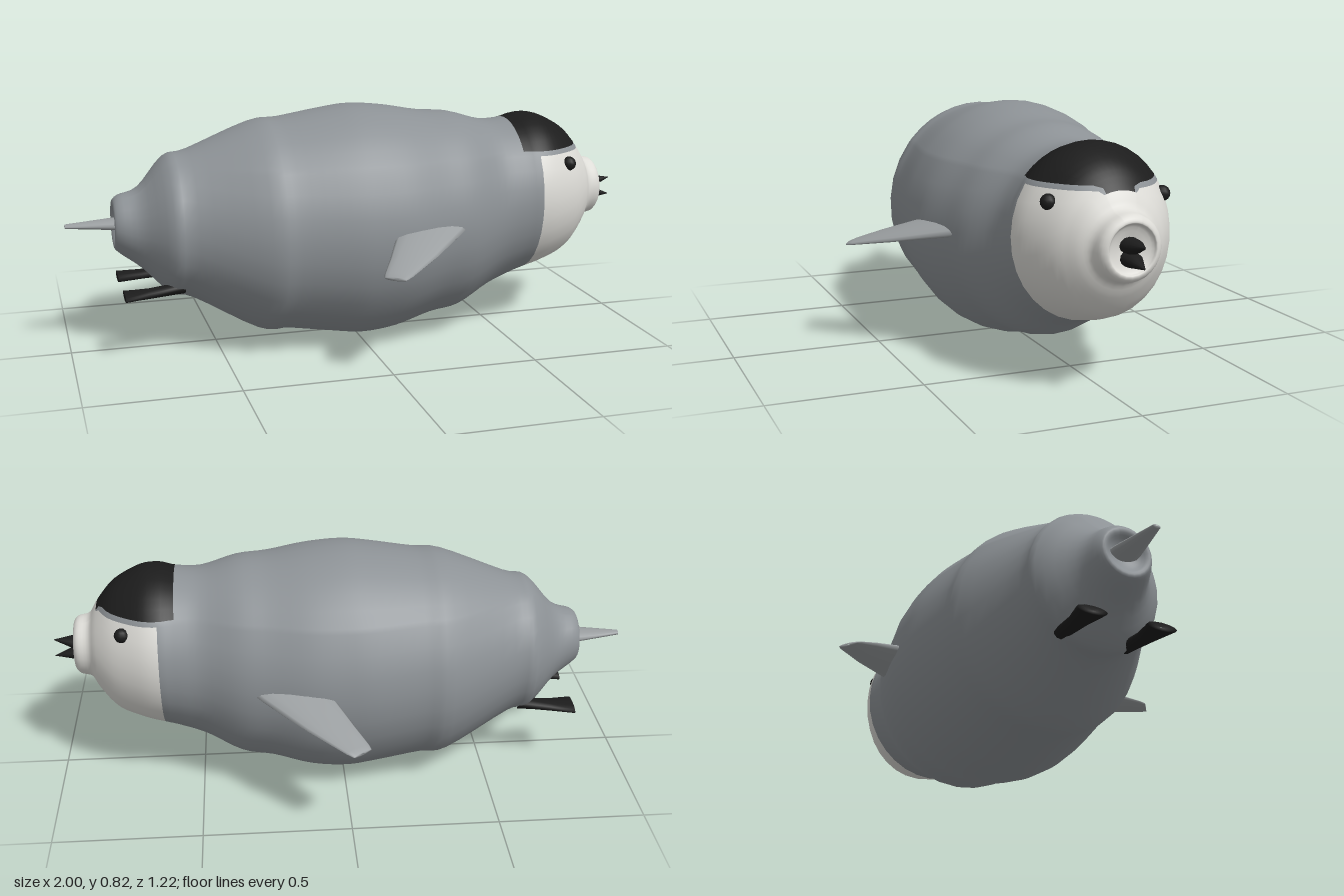
import * as THREE from 'three';

const mat = (name, color) => {
  const m = new THREE.MeshStandardMaterial({ color });
  m.name = name;
  return m;
};

// Joins rings of equal point count into a smooth skin; paint(ring, side) picks a material index.
function loft(rings, paint) {
  const n = rings[0].length, index = [], geo = new THREE.BufferGeometry();
  geo.setFromPoints(rings.flat());
  for (let r = 0; r < rings.length - 1; r++) {
    for (let i = 0; i < n; i++) {
      const a = r * n + i, b = r * n + (i + 1) % n;
      if (paint) geo.addGroup(index.length, 6, paint(r, i));
      index.push(a, a + n, b + n, a, b + n, b);
    }
  }
  geo.setIndex(index);
  geo.computeVertexNormals();
  return geo;
}

// Elliptical section standing across the x axis.
function section(angles, x, top, bottom, halfWidth, z = 0) {
  const cy = (top + bottom) / 2, ry = (top - bottom) / 2;
  return angles.map(a =>
    new THREE.Vector3(x, cy + ry * Math.sin(a), z + halfWidth * Math.cos(a)));
}
const around = n => Array.from({ length: n }, (_, i) => i / n * Math.PI * 2);

// Body rows from tail to face: x, top, bottom, half width
const BODY = [
  [-0.80, 0.451, 0.449, 0.001], [-0.82, 0.49, 0.40, 0.05], [-0.84, 0.52, 0.37, 0.08],
  [-0.82, 0.545, 0.345, 0.1], [-0.75, 0.57, 0.29, 0.135], [-0.66, 0.67, 0.20, 0.225],
  [-0.58, 0.69, 0.175, 0.24], [-0.36, 0.775, 0.05, 0.34], [-0.26, 0.785, 0.04, 0.35],
  [-0.10, 0.81, 0.015, 0.375], [0, 0.82, 0.002, 0.38], [0.12, 0.81, 0.015, 0.375],
  [0.25, 0.787, 0.052, 0.345], [0.36, 0.778, 0.07, 0.32], [0.48, 0.745, 0.135, 0.27],
  [0.57, 0.748, 0.172, 0.26], [0.625, 0.762, 0.19, 0.26], [0.69, 0.757, 0.208, 0.245],
  [0.78, 0.71, 0.245, 0.2], [0.84, 0.64, 0.315, 0.15], [0.87, 0.592, 0.365, 0.112],
  [0.91, 0.58, 0.378, 0.1], [0.925, 0.56, 0.398, 0.08], [0.91, 0.545, 0.413, 0.066],
  [0.89, 0.481, 0.479, 0.001],
];
const STEPS = 4, CAP_SIDES = 12, BAND = 1, LOW_SIDES = 22;
const CAP_ROW = 15, FACE_ROW = 16, CAP_END = 19;

// Angles that keep the cap edge on a level line, with a narrow grey band below it.
function bodyAngles(top, bottom) {
  const cy = (top + bottom) / 2, ry = (top - bottom) / 2;
  const edge = y => Math.asin(THREE.MathUtils.clamp((y - cy) / ry, -0.5, 0.95));
  const a = edge(0.655), b = Math.min(edge(0.64), a - 0.04), out = [];
  for (let i = 0; i < CAP_SIDES; i++) out.push(a + (Math.PI - 2 * a) * i / CAP_SIDES);
  out.push(Math.PI - a);
  for (let i = 0; i <= LOW_SIDES; i++) {
    out.push(Math.PI - b + (Math.PI + 2 * b) * i / LOW_SIDES);
  }
  return out;
}

function bodyGeometry() {
  const spline = new THREE.CubicInterpolant(BODY.map((_, i) => i), BODY.flat(), 4, new Float32Array(4));
  const rings = [];
  for (let k = 0; k <= (BODY.length - 1) * STEPS; k++) {
    const [x, top, bottom, w] = spline.evaluate(k / STEPS);
    rings.push(section(bodyAngles(top, bottom), x, top, bottom, w));
  }
  // 0 plumage, 1 face, 2 cap
  return loft(rings, (r, i) => {
    const row = r / STEPS;
    const inCap = i < CAP_SIDES;
    const inBand = i === CAP_SIDES || i === CAP_SIDES + BAND + LOW_SIDES;
    if (row >= CAP_ROW && row < CAP_END && inCap) return 2;
    if (row >= FACE_ROW && !(inBand && row < CAP_END)) return 1;
    return 0;
  });
}

// Flipper stations from root to tip: lead x, lead z, trail x, trail z, y, half thickness
function flipperGeometry() {
  const rows = [
    [0.35, 0.28, 0.08, 0.30, 0.44, 0.03], [0.29, 0.35, 0.045, 0.37, 0.425, 0.024],
    [0.15, 0.49, -0.01, 0.48, 0.39, 0.016], [0.03, 0.595, -0.05, 0.55, 0.362, 0.009],
    [0.005, 0.61, -0.055, 0.565, 0.356, 0.006], [-0.02, 0.59, -0.03, 0.585, 0.356, 0.001],
  ];
  return loft(rows.map(([lx, lz, tx, tz, y, h]) => around(14).map(a => {
    const t = (1 - Math.cos(a)) / 2;
    return new THREE.Vector3(lx + (tx - lx) * t, y - h * Math.sin(a), lz + (tz - lz) * t);
  })));
}

const spindle = (rows, n = 12) => loft(rows.map(r => section(around(n), ...r)));

export function createModel() {
  const group = new THREE.Group();
  const plumage = mat('grey plumage', 0x8d9296);
  const feather = mat('pale feather', 0x9b9fa1);
  const white = mat('white face', 0xdddcd7);
  const black = mat('black', 0x1c1c1c);
  const add = (name, geo, material) => {
    const mesh = new THREE.Mesh(geo, material);
    mesh.name = name;
    group.add(mesh);
    return mesh;
  };

  add('body', bodyGeometry(), [plumage, white, black]);

  // Flat tapering tail
  add('tail', spindle([
    [-1, 0.451, 0.449, 0.002], [-0.998, 0.456, 0.442, 0.014],
    [-0.84, 0.466, 0.43, 0.05], [-0.78, 0.47, 0.425, 0.055],
  ]), feather);

  // Upper and lower beak
  add('upperBeak', spindle([
    [0.88, 0.515, 0.462, 0.033], [0.93, 0.512, 0.466, 0.032], [1, 0.5, 0.498, 0.001],
  ]), black);
  add('lowerBeak', spindle([
    [0.88, 0.474, 0.422, 0.033], [0.93, 0.47, 0.426, 0.03], [1, 0.438, 0.436, 0.001],
  ]), black);

  // Paired parts
  for (const side of [1, -1]) {
    const label = side > 0 ? 'right' : 'left';
    const front = side > 0 ? 'front' : 'rear';
    add(`${front}Flipper`, flipperGeometry(), feather).scale.z = side;

    add(`${label}Foot`, spindle([
      [-0.82, 0.226, 0.224, 0.002, 0.12], [-0.822, 0.24, 0.211, 0.054, 0.122],
      [-0.74, 0.244, 0.214, 0.036, 0.12], [-0.62, 0.26, 0.22, 0.024, 0.115],
    ]), black).scale.z = side;

    const eye = add(`${label}Eye`, new THREE.SphereGeometry(0.025, 12, 8), black);
    eye.position.set(0.745, 0.603, side * 0.19);
  }
  return group;
}
